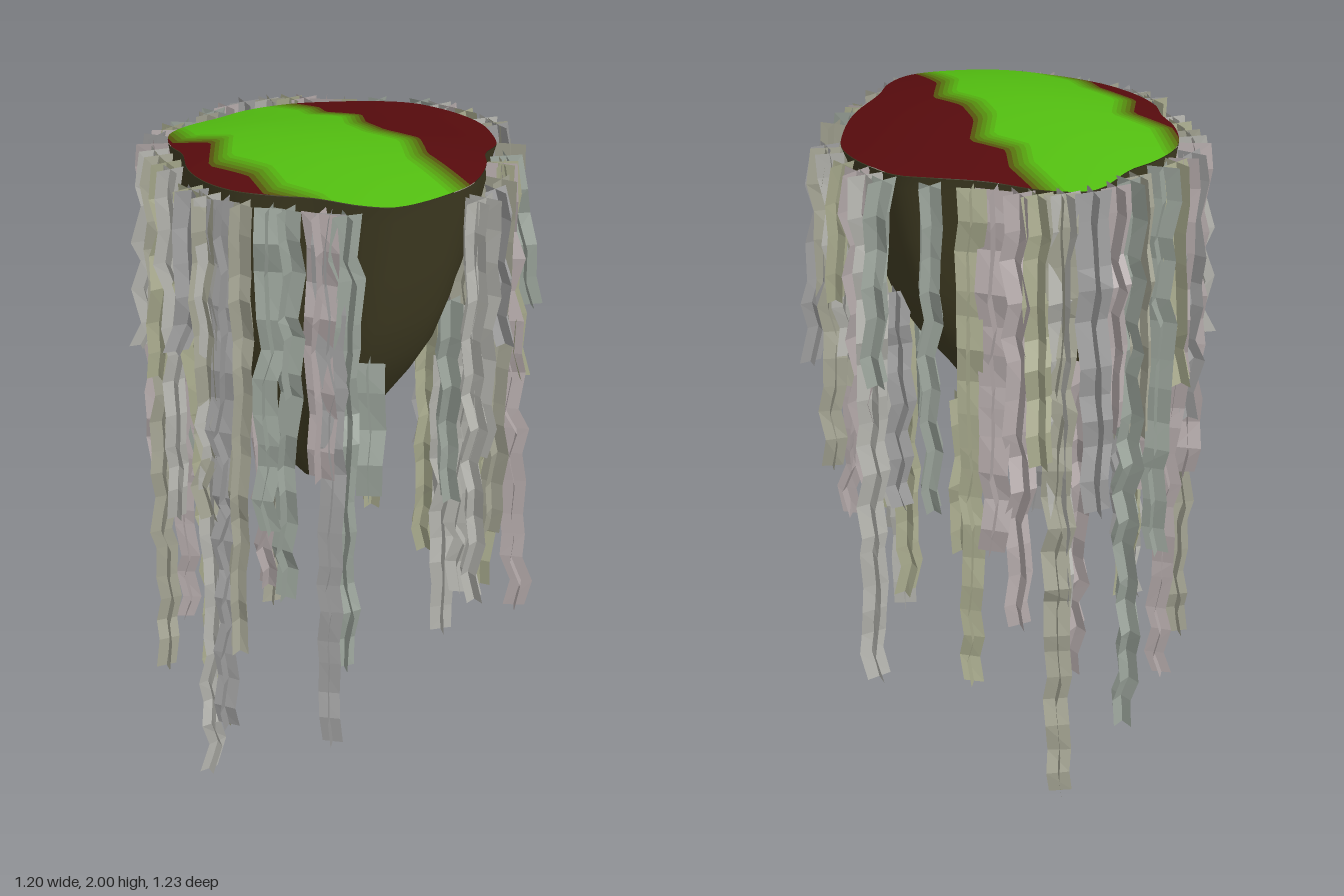
import * as THREE from 'three';

// Wavy outline of the top, as x, z pairs
const RIM = [
  [-0.02, -0.47], [0.1, -0.435], [0.22, -0.34], [0.32, -0.27], [0.4, -0.2], [0.43, -0.13], [0.45, -0.05],
  [0.45, 0.05], [0.41, 0.145], [0.34, 0.245], [0.235, 0.32], [0.185, 0.385], [0.1, 0.45], [0.03, 0.47],
  [-0.145, 0.455], [-0.22, 0.4], [-0.295, 0.3], [-0.36, 0.225], [-0.417, 0.135], [-0.443, 0.035],
  [-0.437, -0.065], [-0.4, -0.155], [-0.387, -0.245], [-0.33, -0.35], [-0.24, -0.4], [-0.145, -0.42],
];

// Stripe borders across the top, as x, z pairs
const LEFT_BORDER = [[-0.3, -0.47], [-0.31, -0.36], [-0.34, -0.25], [-0.28, -0.15], [-0.36, -0.03], [-0.32, 0.1], [-0.34, 0.2], [-0.3, 0.3], [-0.3, 0.47]];
const RIGHT_BORDER = [[0.09, -0.47], [0.1, -0.3], [0.07, -0.22], [0.13, -0.13], [0.07, -0.03], [0.06, 0.07], [0.1, 0.17], [0.04, 0.28], [0.03, 0.47]];

// Lower ends of the strands hanging from the rim: x, z, y
const ENDS = [
  [-0.56, 0.11, 0.06], [-0.48, 0.02, 0.15], [-0.33, -0.44, 0.21], [-0.13, -0.57, 0.2], [0.1, -0.57, 0],
  [-0.34, 0.43, 0.3], [0.53, -0.18, 0.33], [0.32, -0.43, 0.43], [0.37, 0.44, 0.5],
  [-0.27, 0.41, 0.55], [-0.5, -0.28, 0.19], [-0.54, 0.17, 0.28], [0.06, 0.57, 0.74], [0.29, 0.35, 0.56],
  [0.2, -0.5, 0.65], [-0.41, 0.32, 0.8], [0.22, 0.46, 0.85], [0.56, 0.1, 1.3], [0.48, 0.02, 1.34],
  [0.54, -0.07, 1.56], [0.5, -0.13, 1.0], [0.5, -0.24, 1.38], [0.42, 0.24, 1.12], [0.16, 0.52, 1.52],
  [0.09, 0.53, 1.2], [0.34, 0.38, 1.3], [-0.34, 0.38, 1.2], [-0.45, 0.29, 1.02], [-0.51, 0.22, 0.6],
  [-0.54, 0.04, 1.5], [-0.5, -0.14, 0.85], [-0.49, -0.2, 1.3], [-0.43, -0.36, 0.9], [-0.25, -0.48, 0.75],
  [-0.16, -0.52, 1.2], [0.01, -0.59, 1.04], [0.08, -0.52, 0.6], [0.16, -0.53, 1.2], [0.26, -0.46, 0.9],
  [0.39, -0.33, 1.0], [0.52, 0.07, 0.95], [-0.38, -0.42, 1.15], [-0.47, -0.32, 1.35], [-0.3, -0.46, 1.3],
  [-0.06, -0.53, 1.25], [0.4, 0.36, 1.5], [-0.53, 0.1, 1.0],
];

// Lower ends of the short strands hanging from the flanks: x, z, y, start height
const FLANK_ENDS = [
  [0.29, 0.17, 0.27, 1.3], [0.34, 0, 0.47, 1.6], [-0.06, -0.36, 0.27, 1.4], [-0.19, 0.4, 1.1, 1.5],
  [0.38, 0.1, 1.3, 1.85], [0.38, -0.07, 0.85, 1.55], [0.27, 0.27, 0.5, 1.5],
  [0.2, -0.12, 0.65, 1.2], [-0.34, -0.24, 0.8, 1.5], [0.18, 0.3, 0.9, 1.55],
];

const TINTS = [0xb4b4ae, 0xa9ab8e, 0xb3a9a9, 0x9aa39a, 0xa5a594, 0x9d9d9d];
const RED = new THREE.Color(0x560b0d), GREEN = new THREE.Color(0x52bd10);

let seed = 7;
const rand = () => {
  seed = (seed * 16807) % 2147483647;
  return (seed / 2147483647) * 2 - 1;
};

const outline = new THREE.CatmullRomCurve3(RIM.map(([x, z]) => new THREE.Vector3(x, 0, z)), true).getPoints(96).slice(0, -1);

const topHeight = (x, z) => 1.945 + 0.025 * z - 0.012 * x + 0.045 * (1 - (x * x + z * z) / 0.21) + 0.01 * Math.sin(7 * x - 5 * z + 2.6);

// Lofts a mesh through rows of points with equal counts
function loft(name, rows, color, flatShading, closed = false) {
  const n = rows[0].length, index = [];
  for (let r = 0; r < rows.length - 1; r++) {
    for (let i = 0; i < (closed ? n : n - 1); i++) {
      const a = r * n + i, b = r * n + (i + 1) % n;
      index.push(a, a + n, b, b, a + n, b + n);
    }
  }
  const geometry = new THREE.BufferGeometry().setFromPoints(rows.flat());
  geometry.setIndex(index);
  geometry.computeVertexNormals();
  const mesh = new THREE.Mesh(geometry, new THREE.MeshStandardMaterial({ color, flatShading, side: THREE.DoubleSide }));
  mesh.name = name;
  return mesh;
}

function borderX(border, z) {
  for (let i = 0; i < border.length - 1; i++) {
    const [x0, z0] = border[i], [x1, z1] = border[i + 1];
    if (z <= z1) return x0 + (x1 - x0) * (z - z0) / (z1 - z0);
  }
  return border[border.length - 1][0];
}

// Smallest and largest x of the outline at depth z
function span(z) {
  const xs = [];
  outline.forEach((p, i) => {
    const q = outline[(i + 1) % outline.length];
    if ((p.z <= z) !== (q.z <= z)) xs.push(p.x + (q.x - p.x) * (z - p.z) / (q.z - p.z));
  });
  return [Math.min(...xs), Math.max(...xs)];
}

// Top: a green stripe between two red ones, with narrow bands blending them
function createTop() {
  const group = new THREE.Group();
  group.name = 'stripedTop';
  const offsets = [-0.035, -0.021, -0.007, 0.007, 0.021, 0.035];
  const blends = [0, 1 / 6, 2 / 6, 3 / 6, 4 / 6, 5 / 6];
  const greenShare = [...blends, 1, ...blends.toReversed()];
  const bands = greenShare.map(() => []);
  const zs = outline.map((p) => p.z);
  const zMin = Math.min(...zs) + 0.0005, zMax = Math.max(...zs) - 0.0005;
  for (let r = 0; r <= 72; r++) {
    // Rows crowd towards both ends, where the outline turns
    const z = (zMin + zMax) / 2 - (zMax - zMin) / 2 * Math.cos(Math.PI * r / 72);
    const [x0, x1] = span(z);
    const cuts = (border) => offsets.map((o) => THREE.MathUtils.clamp(borderX(border, z) + o, x0, x1));
    const xs = [x0, ...cuts(LEFT_BORDER), ...cuts(RIGHT_BORDER), x1];
    bands.forEach((rows, s) => rows.push(Array.from({ length: 7 }, (_, i) => {
      const x = THREE.MathUtils.lerp(xs[s], xs[s + 1], i / 6);
      return new THREE.Vector3(x, topHeight(x, z), z);
    })));
  }
  bands.forEach((rows, s) => {
    const share = greenShare[s];
    const name = share === 1 ? 'greenStripe' : share === 0 ? 'redStripe' : 'blendBand';
    group.add(loft(name, rows, RED.clone().lerp(GREEN, share), false));
  });
  return group;
}

// Body: the outline shrinking down to a blunt tip; height, scale
function createBody() {
  const levels = [[1.9, 0.98], [1.75, 0.93], [1.6, 0.87], [1.48, 0.8], [1.38, 0.7], [1.28, 0.57], [1.16, 0.42], [1.07, 0.29], [0.98, 0.17], [0.94, 0.1], [0.94, 0]];
  const rows = [outline.map((p) => new THREE.Vector3(p.x, topHeight(p.x, p.z) - 0.002, p.z))];
  for (const [y, s] of levels) {
    const shiftX = -0.08 * (1 - s) - 0.03 * Math.sin(Math.PI * s), shiftZ = -0.03 * Math.sin(Math.PI * s);
    rows.push(outline.map((p) => new THREE.Vector3(p.x * s + shiftX, y, p.z * s + shiftZ)));
  }
  rows.forEach((row) => row.reverse());
  return loft('taperedBody', rows, 0x3f3b22, false, true);
}

// Strand: two crossed ribbons along a zigzag path, narrowing downwards
function createStrand(name, start, end, color) {
  const group = new THREE.Group();
  group.name = name;
  const steps = Math.max(4, Math.round((start.y - end.y) / 0.09));
  const baseWidth = 0.043 + 0.006 * rand();
  const angle = Math.atan2(start.z, start.x);
  const turn = angle + 0.35 * rand();
  const ribbons = [[], []];
  for (let i = 0; i <= steps; i++) {
    const p = start.clone().lerp(end, i / steps);
    const zigzag = i % 2 ? 0.007 : -0.007;
    if (i > 0) p.add(new THREE.Vector3(Math.cos(angle) * zigzag + 0.011 * rand(), i < steps ? 0.02 * rand() : 0, Math.sin(angle) * zigzag + 0.011 * rand()));
    const width = baseWidth * (1 - 0.2 * i / steps);
    ribbons.forEach((rows, k) => {
      const a = turn + k * Math.PI / 2 + 0.08 * rand();
      const side = new THREE.Vector3(Math.cos(a) * width, 0, Math.sin(a) * width);
      rows.push([p.clone().sub(side), p.clone().add(side)]);
    });
  }
  ribbons.forEach((rows) => group.add(loft('ribbon', rows, color, true)));
  return group;
}

export function createModel() {
  seed = 7;
  const model = new THREE.Group();
  model.name = 'hangingStrandMound';
  model.add(createTop(), createBody());

  const strands = new THREE.Group();
  strands.name = 'strands';
  ENDS.forEach(([x, z, y], i) => {
    // Start just outside the rim, in the direction of the lower end
    const angle = Math.atan2(z, x);
    const gap = (q) => 1 - Math.cos(Math.atan2(q.z, q.x) - angle);
    const rim = outline.reduce((best, p) => (gap(p) < gap(best) ? p : best));
    const r = Math.hypot(rim.x, rim.z) + 0.04;
    const start = new THREE.Vector3(Math.cos(angle) * r, 1.935, Math.sin(angle) * r);
    strands.add(createStrand('rimStrand', start, new THREE.Vector3(x, y, z), TINTS[i % TINTS.length]));
  });
  FLANK_ENDS.forEach(([x, z, y, top], i) => {
    const start = new THREE.Vector3(x * 0.95, top, z * 0.95);
    strands.add(createStrand('flankStrand', start, new THREE.Vector3(x, y, z), TINTS[i % TINTS.length]));
  });
  model.add(strands);
  return model;
}
